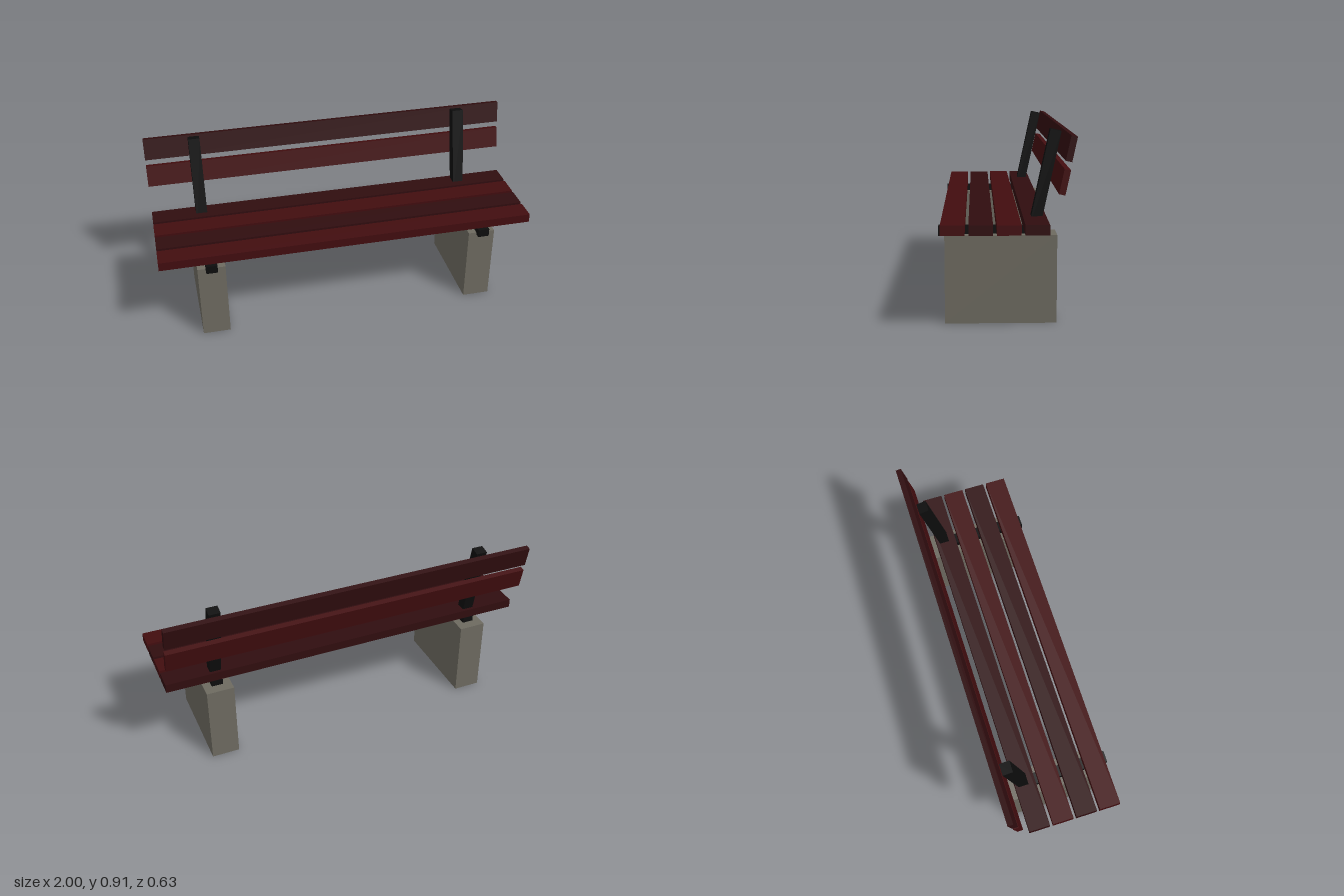
import * as THREE from 'three';

export function createModel() {
  const bench = new THREE.Group();
  bench.name = 'bench';

  const mat = (name, color) => {
    const m = new THREE.MeshStandardMaterial({ color });
    m.name = name;
    return m;
  };
  const redWood = mat('red wood', 0x420d0f);
  const darkWood = mat('dark red wood', 0x300d0f);
  const iron = mat('black iron', 0x0d0d0d);
  const concrete = mat('concrete', 0x6d6a60);

  const addBox = (name, material, size, pos, tilt = 0) => {
    const mesh = new THREE.Mesh(new THREE.BoxGeometry(...size), material);
    mesh.name = name;
    mesh.position.set(...pos);
    mesh.rotation.x = tilt;
    bench.add(mesh);
  };

  const lean = -THREE.MathUtils.degToRad(12.1); // backrest leans backwards

  // Concrete feet, seat rails and back posts, one set per side
  for (const [side, s] of [['left', 1], ['right', -1]]) {
    const x = 0.735 * s;
    addBox(side + 'Foot', concrete, [0.145, 0.422, 0.527], [x, 0.211, 0.02]);
    addBox(side + 'SeatRail', iron, [0.06, 0.043, 0.505], [x, 0.4335, 0.0615]);
    addBox(side + 'BackPost', iron, [0.06, 0.49, 0.0525], [x, 0.669, -0.1855], lean);
  }

  // Seat slats, front to back, in alternating shades
  for (let i = 0; i < 4; i++) {
    addBox('seatSlat' + (i + 1), i % 2 ? darkWood : redWood,
      [2, 0.047, 0.11], [0, 0.4805, 0.2415 - i * 0.127]);
  }

  // Backrest slats
  addBox('lowerBackSlat', redWood, [2, 0.115, 0.029], [0, 0.6955, -0.258], lean);
  addBox('upperBackSlat', darkWood, [2, 0.115, 0.029], [0, 0.8435, -0.2865], lean);

  return bench;
}
